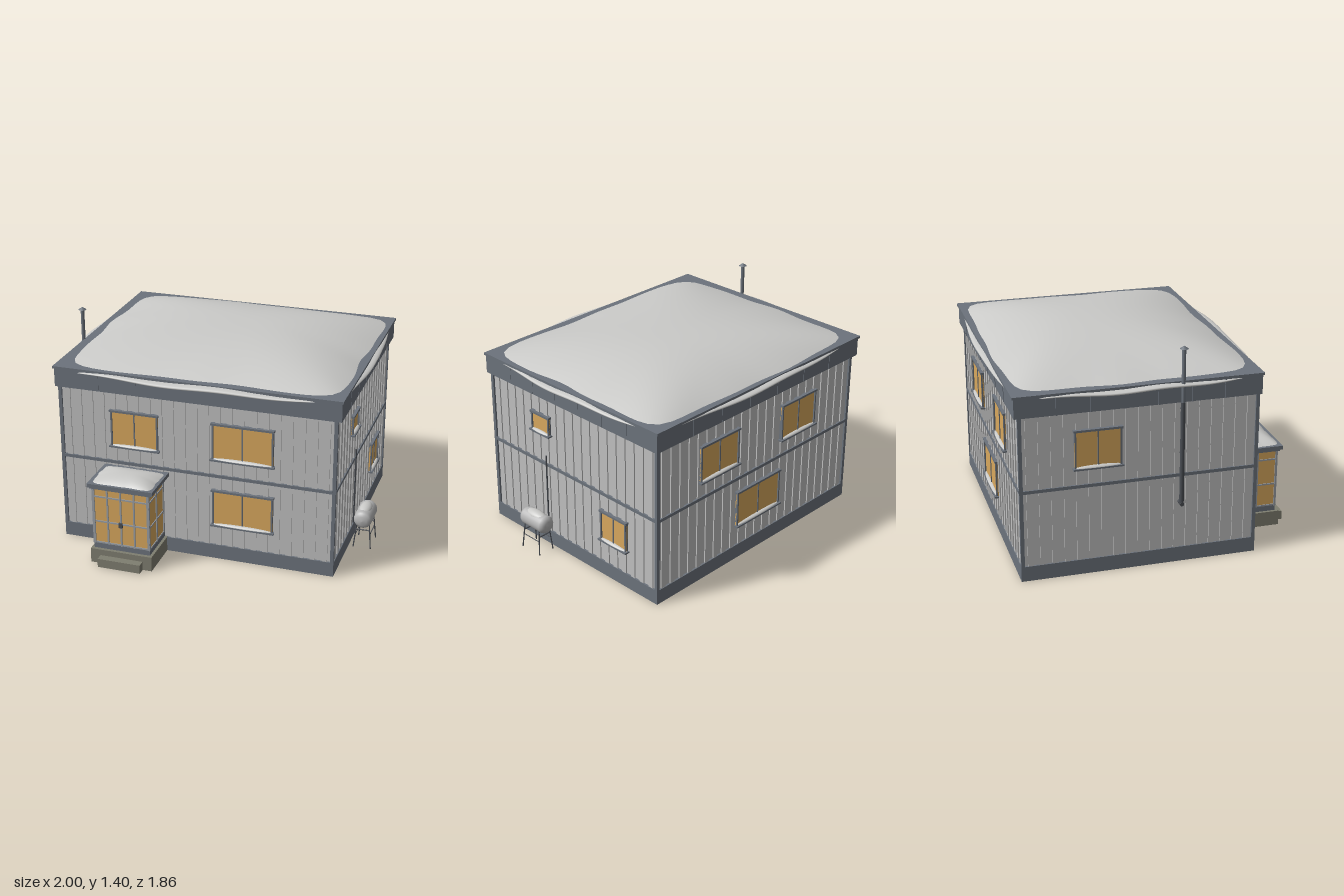
import * as THREE from 'three';
import { ParametricGeometry } from 'three/addons/geometries/ParametricGeometry.js';

const mat = (name, color, side = THREE.FrontSide) => {
  const m = new THREE.MeshStandardMaterial({ color, side });
  m.name = name;
  return m;
};

export function createModel() {
  const M = {
    wall: mat('wall siding', 0xc0c0c0),
    trim: mat('slate trim', 0x6c737c),
    glass: mat('warm glass', 0xd9a85e),
    snow: mat('snow', 0xcacac8, THREE.DoubleSide),
    concrete: mat('concrete', 0x7f7e70),
    frame: mat('porch frame', 0x9a9fa5),
    dark: mat('dark metal', 0x4a4e54),
    metal: mat('tank metal', 0xb6b6b6),
  };
  const root = new THREE.Group();
  root.name = 'house';

  const add = (parent, name, geo, m, x = 0, y = 0, z = 0) => {
    const mesh = new THREE.Mesh(geo, m);
    mesh.name = name;
    mesh.position.set(x, y, z);
    parent.add(mesh);
    return mesh;
  };
  // box given by its limits on each axis
  const box = (parent, name, m, x0, x1, y0, y1, z0, z1) =>
    add(parent, name, new THREE.BoxGeometry(x1 - x0, y1 - y0, z1 - z0), m,
      (x0 + x1) / 2, (y0 + y1) / 2, (z0 + z1) / 2);
  // round bar between two points
  const rod = (parent, name, m, a, b, r) => {
    const p = new THREE.Vector3(...a), q = new THREE.Vector3(...b);
    const mesh = add(parent, name, new THREE.CylinderGeometry(r, r, p.distanceTo(q), 12), m);
    mesh.position.copy(p).add(q).multiplyScalar(0.5);
    mesh.quaternion.setFromUnitVectors(new THREE.Vector3(0, 1, 0), q.sub(p).normalize());
    return mesh;
  };

  // Snow mound: a soft dome on a wobbly rounded rectangle
  const mound = (name, a, b, h, wobble, sx, sz, x, y, z) => {
    const f = (u, v, out) => {
      const t = u * Math.PI * 2, r = 0.001 + 0.999 * v;
      const c = Math.cos(t), s = Math.sin(t), n = 2 + 9 * r * r;
      const k = Math.pow(Math.abs(c) ** n + Math.abs(s) ** n, -1 / n) * r;
      const w = 1 - wobble * r * r * (1 + 0.6 * Math.sin(5 * t + 1) + 0.4 * Math.sin(11 * t));
      out.set(a * k * c * w + sx * (1 - r), h * (1 - r ** 2.4), b * k * s * w + sz * (1 - r));
    };
    return add(root, name, new ParametricGeometry(f, 96, 20), M.snow, x, y, z);
  };

  // House body, plinth and roof parapet
  box(root, 'walls', M.wall, -0.925, 0.838, 0.09, 1.06, -0.853, 0.588);
  box(root, 'plinth', M.trim, -0.937, 0.85, 0, 0.095, -0.865, 0.6);
  box(root, 'parapet', M.trim, -0.955, 0.874, 1.045, 1.168, -0.888, 0.607);
  box(root, 'parapetCap', M.trim, -0.963, 0.882, 1.165, 1.18, -0.898, 0.615);
  for (const x of [-0.926, 0.839]) for (const z of [-0.854, 0.589])
    box(root, 'cornerPost', M.trim, x - 0.011, x + 0.011, 0.09, 1.05, z - 0.011, z + 0.011);
  mound('roofSnow', 0.915, 0.752, 0.127, 0.018, 0.1, -0.08, -0.035, 1.172, -0.145);

  // One window in wall coordinates: z points out of the wall
  const addWindow = (wall, x0, x1, y0, y1, panes) => {
    const g = new THREE.Group();
    g.name = 'window';
    wall.add(g);
    const f = 0.01;
    box(g, 'pane', M.glass, x0, x1, y0, y1, 0.005, 0.013);
    for (const x of [x0, x1 - f]) box(g, 'jamb', M.trim, x, x + f, y0, y1, 0, 0.022);
    box(g, 'header', M.trim, x0 - 0.006, x1 + 0.006, y1 - f, y1 + 0.003, 0, 0.026);
    box(g, 'sill', M.trim, x0 - 0.01, x1 + 0.01, y0 - 0.006, y0 + 0.004, 0, 0.034);
    for (let i = 1; i < panes; i++) {
      const x = x0 + (x1 - x0) * i / panes;
      box(g, 'mullion', M.trim, x - 0.004, x + 0.004, y0, y1, 0.01, 0.018);
    }
    add(g, 'sillSnow', new THREE.SphereGeometry(1, 24, 8, 0, Math.PI * 2, 0, Math.PI / 2), M.snow,
      (x0 + x1) / 2, y0 + 0.002, 0.014).scale.set((x1 - x0) / 2 + 0.004, 0.014, 0.02);
  };

  // The four walls: placing, extent along the wall, edge overhang and windows
  const walls = [
    { name: 'frontWall', pos: [0, 0, 0.588], rot: 0, from: -0.915, to: 0.828, lip: 0.026, windows: [
      [-0.59, -0.28, 0.69, 0.93, 2], [0.07, 0.46, 0.69, 0.93, 2], [0.07, 0.46, 0.24, 0.48, 2]] },
    { name: 'leftWall', pos: [0.838, 0, 0], rot: Math.PI / 2, from: -0.578, to: 0.843, lip: 0.04, windows: [
      [-0.214, -0.055, 0.788, 0.915, 1], [0.39, 0.61, 0.255, 0.458, 2]] },
    { name: 'backWall', pos: [0, 0, -0.853], rot: Math.PI, from: -0.828, to: 0.915, lip: 0.045, windows: [
      [-0.49, -0.155, 0.69, 0.93, 2], [0.245, 0.57, 0.69, 0.93, 2], [-0.155, 0.245, 0.24, 0.48, 2]] },
    { name: 'rightWall', pos: [-0.925, 0, 0], rot: -Math.PI / 2, from: -0.843, to: 0.578, lip: 0.045, windows: [
      [-0.535, -0.25, 0.69, 0.93, 2]] },
  ];
  for (const w of walls) {
    const g = new THREE.Group();
    g.name = w.name;
    g.position.set(...w.pos);
    g.rotation.y = w.rot;
    root.add(g);
    const len = w.to - w.from, mid = (w.from + w.to) / 2;
    // siding ribs
    const n = Math.round(len / 0.075);
    for (let i = 0; i < n; i++) {
      const x = w.from + (i + 0.5) * len / n;
      box(g, 'rib', M.wall, x - 0.017, x + 0.017, 0.09, 1.05, -0.002, 0.008);
    }
    box(g, 'floorBand', M.trim, w.from, w.to, 0.565, 0.585, 0, 0.013);
    // parapet seams
    for (let i = 1; i < 7; i++) {
      const x = w.from + i * len / 7;
      box(g, 'parapetSeam', M.trim, x - 0.004, x + 0.004, 1.046, 1.166, 0, w.lip > 0.03 ? 0.038 : 0.022);
    }
    for (const a of w.windows) addWindow(g, ...a);
    // snow overhang along the parapet
    const lip = (u, v, out) => {
      const s = Math.sin(Math.PI * u), p = (v - 0.5) * Math.PI;
      out.set(mid + (u - 0.5) * len * 0.86,
        1.155 + 0.005 * Math.sin(u * 13) + 0.015 * Math.sqrt(Math.max(s, 0.001)) * Math.sin(p),
        0.024 + (0.008 + 0.046 * s) * Math.cos(p));
    };
    add(g, 'snowOverhang', new ParametricGeometry(lip, 48, 8), M.snow);
  }

  // Glazed porch
  const porch = new THREE.Group();
  porch.name = 'porch';
  root.add(porch);
  box(porch, 'porchBase', M.concrete, -0.64, -0.235, 0, 0.096, 0.58, 0.88);
  box(porch, 'step', M.concrete, -0.575, -0.295, 0, 0.057, 0.87, 0.93);
  box(porch, 'kickPanel', M.trim, -0.622, -0.253, 0.095, 0.132, 0.58, 0.858);
  box(porch, 'porchGlass', M.glass, -0.62, -0.255, 0.13, 0.52, 0.58, 0.855);
  for (const x of [-0.617, -0.525, -0.4375, -0.35, -0.258]) {
    const r = Math.abs(x + 0.4375) > 0.1 ? 0.008 : 0.005;
    box(porch, 'frontPost', M.frame, x - r, x + r, 0.13, 0.52, 0.85, 0.863);
  }
  for (const y of [0.137, 0.285, 0.455, 0.514]) {
    box(porch, 'frontRail', M.frame, -0.625, -0.25, y - 0.005, y + 0.005, 0.85, 0.861);
    for (const x of [-0.62, -0.255])
      box(porch, 'sideRail', M.frame, x - 0.005, x + 0.005, y - 0.005, y + 0.005, 0.6, 0.86);
  }
  for (const x of [-0.62, -0.255]) for (const z of [0.606, 0.728, 0.855])
    box(porch, 'sidePost', M.frame, x - 0.006, x + 0.006, 0.13, 0.52, z - 0.007, z + 0.007);
  box(porch, 'doorHandle', M.dark, -0.449, -0.426, 0.265, 0.297, 0.86, 0.872);
  box(porch, 'porchRoof', M.trim, -0.645, -0.217, 0.525, 0.55, 0.59, 0.888);
  box(porch, 'porchRoofTrim', M.trim, -0.633, -0.23, 0.512, 0.53, 0.59, 0.875);
  mound('porchSnow', 0.205, 0.135, 0.04, 0.025, 0.01, 0, -0.431, 0.547, 0.742);

  // Flue pipe with elbow, brackets and rain cap
  const flue = new THREE.Group();
  flue.name = 'flue';
  root.add(flue);
  rod(flue, 'fluePipe', M.dark, [-0.97, 0.4, 0.11], [-0.97, 1.05, 0.11], 0.014);
  rod(flue, 'flueTop', M.trim, [-0.97, 1.05, 0.11], [-0.97, 1.375, 0.11], 0.012);
  rod(flue, 'flueElbow', M.dark, [-0.985, 0.402, 0.11], [-0.92, 0.402, 0.11], 0.013);
  for (const y of [0.72, 1.0]) rod(flue, 'flueBracket', M.dark, [-0.97, y, 0.11], [-0.92, y, 0.11], 0.006);
  add(flue, 'flueCap', new THREE.ConeGeometry(0.026, 0.018, 16), M.trim, -0.97, 1.388, 0.11);

  // Fuel tank on splayed legs with its supply line
  const tank = new THREE.Group();
  tank.name = 'fuelTank';
  root.add(tank);
  const profile = [[0, -0.115], [0.03, -0.112], [0.05, -0.1], [0.058, -0.082],
    [0.058, 0.082], [0.05, 0.1], [0.03, 0.112], [0, 0.115]].map(p => new THREE.Vector2(...p));
  add(tank, 'tankShell', new THREE.LatheGeometry(profile, 28), M.metal, 0.938, 0.205, 0.11).rotation.x = Math.PI / 2;
  add(tank, 'tankSnow', new THREE.SphereGeometry(1, 20, 10), M.snow, 0.938, 0.243, 0.11).scale.set(0.04, 0.03, 0.09);
  for (const s of [-1, 1]) {
    for (const t of [-1, 1])
      rod(tank, 'tankLeg', M.dark, [0.938 + s * 0.04, 0.175, 0.11 + t * 0.066], [0.938 + s * 0.056, 0, 0.11 + t * 0.08], 0.004);
    rod(tank, 'legBrace', M.dark, [0.938 + s * 0.045, 0.09, 0.037], [0.938 + s * 0.045, 0.09, 0.183], 0.003);
    rod(tank, 'legTie', M.dark, [0.893, 0.125, 0.11 + s * 0.07], [0.983, 0.125, 0.11 + s * 0.07], 0.004);
  }
  rod(tank, 'supplyLine', M.dark, [0.856, 0.12, 0.09], [0.856, 0.64, 0.09], 0.005);
  rod(tank, 'supplyLink', M.dark, [0.856, 0.122, 0.09], [0.938, 0.122, 0.09], 0.004);
  rod(tank, 'supplyOutlet', M.dark, [0.938, 0.12, 0.09], [0.938, 0.17, 0.09], 0.004);
  return root;
}
